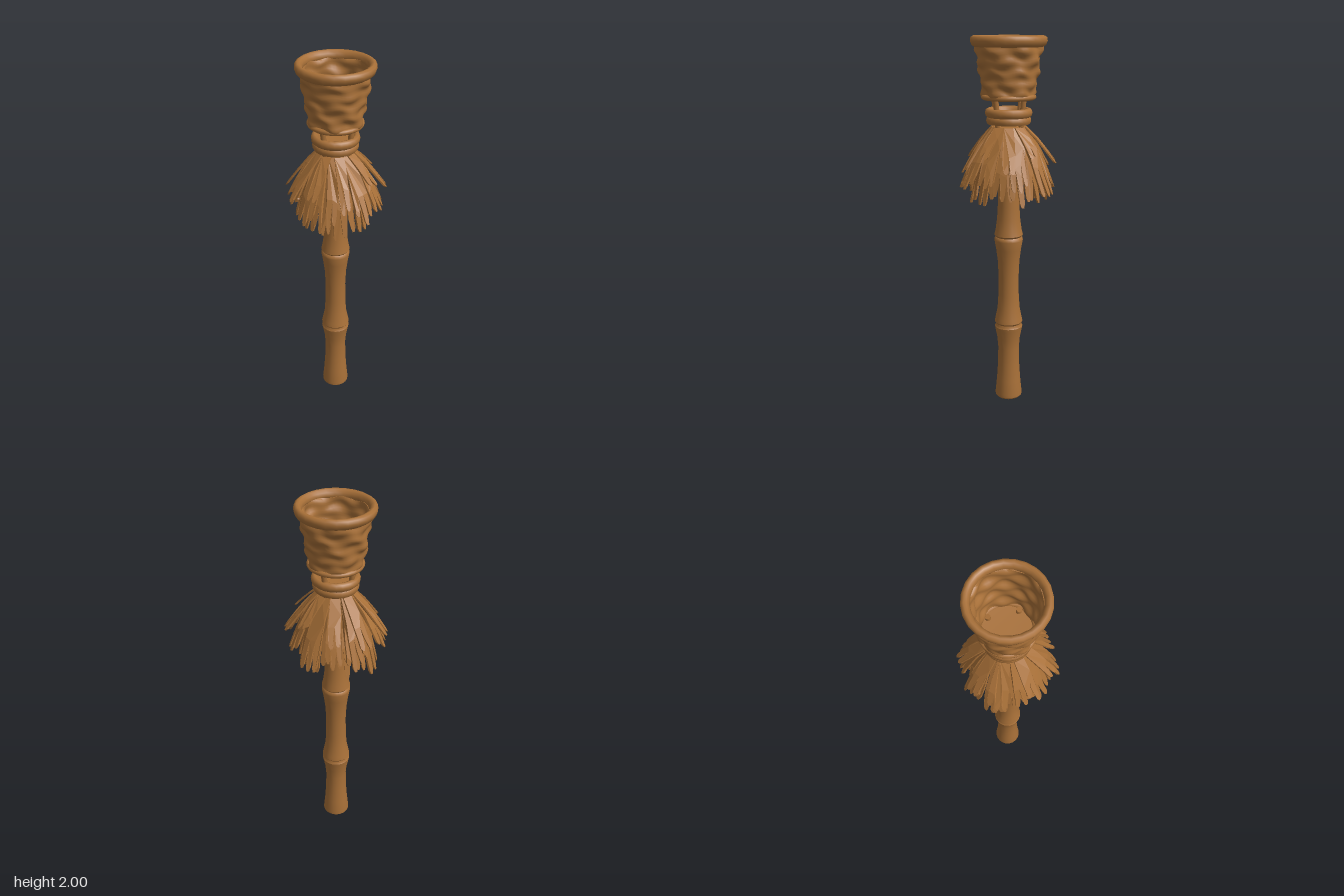
import * as THREE from 'three';
import { mergeVertices, toCreasedNormals } from 'three/addons/utils/BufferGeometryUtils.js';

const wood = new THREE.MeshStandardMaterial({ color: 0xa87038, side: THREE.DoubleSide });
wood.name = 'bamboo brown';

// Small seeded generator for the uneven straw
let seed = 7;
const rand = (a, b) => {
  seed = (seed * 16807) % 2147483647;
  return a + (b - a) * (seed / 2147483647);
};

function add(parent, name, geometry) {
  const mesh = new THREE.Mesh(geometry, wood);
  mesh.name = name;
  parent.add(mesh);
  return mesh;
}

function lathe(points, segments, crease = 0.7) {
  const g = new THREE.LatheGeometry(points.map(([r, y]) => new THREE.Vector2(r, y)), segments);
  return toCreasedNormals(g, crease);
}

// One straw panel: narrow at the top, split into blunt fingers, bent outwards as it falls
function strawPanel({ top, bottom, reach, drop, fingers, startR, curve }) {
  const shape = new THREE.Shape();
  shape.moveTo(-top, 0);
  shape.lineTo(-top * 0.5 - bottom * 0.5, -0.3);
  shape.lineTo(-bottom * 0.9, -0.55);
  const w = (2 * bottom) / fingers;
  for (let i = 0; i < fingers; i++) {
    const x = -bottom + w * (i + 0.5);
    const tip = -rand(0.82, 1);
    const tx = x * 1.12 + rand(-0.006, 0.006);
    shape.lineTo(x - w * 0.4, -rand(0.7, 0.76));
    shape.lineTo(tx - w * 0.32, tip + 0.05);
    shape.lineTo(tx - w * 0.12, tip);
    shape.lineTo(tx + w * 0.18, tip);
    shape.lineTo(tx + w * 0.34, tip + 0.06);
    shape.lineTo(x + w * 0.4, -rand(0.7, 0.76));
    if (i < fingers - 1) shape.lineTo(x + w * 0.5, -rand(0.5, 0.64));
  }
  shape.lineTo(bottom * 0.9, -0.55);
  shape.lineTo(top * 0.5 + bottom * 0.5, -0.3);
  shape.lineTo(top, 0);
  const g = new THREE.ExtrudeGeometry(shape, { depth: 0.01, bevelEnabled: false });
  const p = g.attributes.position;
  for (let i = 0; i < p.count; i++) {
    const v = Math.max(0, -p.getY(i));
    const r = startR + (reach - startR) * Math.pow(v, curve);
    p.setXYZ(i, p.getX(i), 1.545 - drop * v, r + p.getZ(i) - p.getX(i) ** 2 * 3);
  }
  g.computeVertexNormals();
  return g;
}

// Woven wall: outer and inner skins pushed in and out in alternating bulges
function wovenWall() {
  const pts = [];
  const rows = 25;
  const radius = (t) => 0.132 + 0.042 * t;
  for (let i = 0; i <= rows; i++) pts.push(new THREE.Vector2(radius(i / rows), 1.69 + 0.275 * (i / rows)));
  for (let i = rows; i >= 0; i--) pts.push(new THREE.Vector2(radius(i / rows) - 0.018, 1.69 + 0.275 * (i / rows)));
  let g = new THREE.LatheGeometry(pts, 60);
  const p = g.attributes.position;
  for (let i = 0; i < p.count; i++) {
    const x = p.getX(i), y = p.getY(i), z = p.getZ(i);
    const a = Math.atan2(x, z);
    const row = ((y - 1.69) / 0.275) * Math.PI * 5;
    const wave = Math.sin(row) * Math.sin(a * 6) * 0.008 + Math.sin(row * 2) * 0.003
      + Math.sin(a * 5 + row * 0.6) * 0.003;
    const k = 1 + wave / Math.hypot(x, z);
    p.setXYZ(i, x * k, y + 0.005 * Math.sin(a * 7 + y * 20), z * k);
  }
  g.deleteAttribute('uv');
  g.deleteAttribute('normal');
  g = mergeVertices(g, 1e-4);
  return toCreasedNormals(g, 0.9);
}

export function createModel() {
  const model = new THREE.Group();
  model.name = 'torch';

  // Bamboo pole with two swollen, grooved joints
  add(model, 'pole', lathe([
    [0, 0.005], [0.066, 0.005], [0.074, 0.014], [0.074, 0.03], [0.066, 0.11], [0.06, 0.2], [0.058, 0.3],
    [0.063, 0.36], [0.074, 0.415], [0.077, 0.432], [0.071, 0.442], [0.07, 0.45], [0.077, 0.46], [0.073, 0.48],
    [0.061, 0.54], [0.056, 0.62], [0.055, 0.72], [0.059, 0.81], [0.068, 0.88], [0.077, 0.93], [0.076, 0.942],
    [0.069, 0.95], [0.077, 0.96], [0.07, 0.99], [0.062, 1.05], [0.058, 1.12], [0.056, 1.3], [0.056, 1.52], [0, 1.52],
  ], 20));

  // Straw skirt: a closed core and three overlapping layers
  const skirt = new THREE.Group();
  skirt.name = 'strawSkirt';
  model.add(skirt);
  add(skirt, 'strawCore', lathe([[0.14, 1.4], [0.118, 1.47], [0.082, 1.54], [0, 1.543]], 12, 0.4));
  const layers = [
    { name: 'longStraw', count: 11, reach: [0.18, 0.225], drop: [0.36, 0.43], startR: 0.07, curve: 0.62, bottom: 0.058, fingers: 3 },
    { name: 'middleStraw', count: 10, reach: [0.235, 0.27], drop: [0.29, 0.36], startR: 0.076, curve: 0.72, bottom: 0.052, fingers: 3 },
    { name: 'shortStraw', count: 9, reach: [0.235, 0.265], drop: [0.15, 0.25], startR: 0.082, curve: 0.85, bottom: 0.036, fingers: 2 },
  ];
  layers.forEach((layer, k) => {
    for (let i = 0; i < layer.count; i++) {
      const panel = add(skirt, layer.name, strawPanel({
        top: 0.024,
        bottom: layer.bottom * rand(0.8, 1.05),
        reach: rand(...layer.reach),
        drop: rand(...layer.drop),
        fingers: layer.fingers,
        startR: layer.startR,
        curve: layer.curve,
      }));
      panel.rotation.y = ((i + k * 0.37 + rand(-0.12, 0.12)) / layer.count) * Math.PI * 2;
    }
  });

  // Binding collar above the straw
  add(model, 'collar', lathe([
    [0, 1.565], [0.085, 1.565], [0.095, 1.556], [0.11, 1.557], [0.117, 1.57], [0.116, 1.585], [0.111, 1.592],
    [0.121, 1.602], [0.123, 1.617], [0.118, 1.632], [0.105, 1.638], [0.09, 1.632], [0.084, 1.615], [0, 1.615],
  ], 24, 0.9));

  // Four leaning sticks joining collar and basket
  const stickAngle = Math.atan2(0.09, 0.035);
  for (let i = 0; i < 4; i++) {
    const holder = new THREE.Group();
    holder.name = 'stickHolder';
    holder.rotation.y = stickAngle + (i * Math.PI) / 2;
    const stick = add(holder, 'stick', new THREE.CylinderGeometry(0.014, 0.014, 0.17, 8));
    stick.position.set(0, 1.63, 0.094);
    stick.rotation.x = 0.12;
    model.add(holder);
  }

  // Basket: woven wall, floor, lower hoop and thick top rim
  const basket = new THREE.Group();
  basket.name = 'basket';
  model.add(basket);
  add(basket, 'wovenWall', wovenWall());
  add(basket, 'basketFloor', lathe([[0, 1.682], [0.128, 1.69], [0.128, 1.698], [0, 1.692]], 16));
  const hoop = add(basket, 'lowerHoop', new THREE.TorusGeometry(0.129, 0.014, 10, 28));
  hoop.rotation.x = Math.PI / 2;
  hoop.position.y = 1.695;
  add(basket, 'topRim', lathe([
    [0.16, 1.955], [0.176, 1.945], [0.19, 1.955], [0.197, 1.975], [0.194, 1.992], [0.182, 2],
    [0.17, 1.997], [0.16, 1.985], [0.156, 1.97], [0.16, 1.955],
  ], 24, 0.9));
  return model;
}
